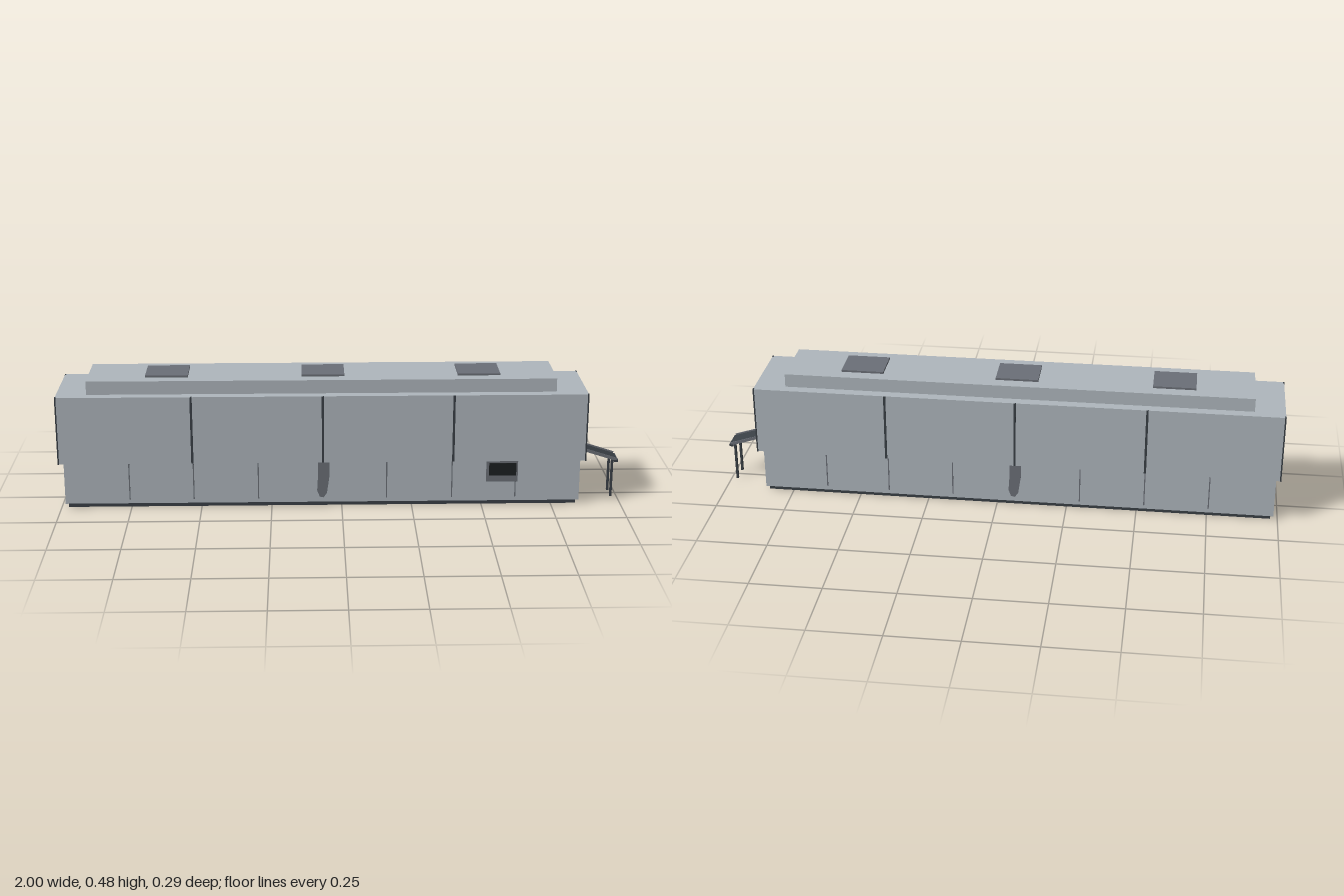
import * as THREE from 'three';

const mat = (name, color) => Object.assign(new THREE.MeshStandardMaterial({ color }), { name });

export function createModel() {
  const model = new THREE.Group();
  model.name = 'longContainerUnit';
  const shell = mat('pale grey shell', 0xb0b8be);
  const grey = mat('mid grey', 0x6c7078);
  const dark = mat('charcoal', 0x3a4046);
  const black = mat('near black', 0x1c2021);

  const add = (name, geometry, material, parent = model) => {
    const mesh = new THREE.Mesh(geometry, material);
    mesh.name = name;
    parent.add(mesh);
    return mesh;
  };
  // Box given by its limits on each axis
  const box = (name, material, [x0, x1], [y0, y1], [z0, z1], parent) => {
    const mesh = add(name, new THREE.BoxGeometry(x1 - x0, y1 - y0, z1 - z0), material, parent);
    mesh.position.set((x0 + x1) / 2, (y0 + y1) / 2, (z0 + z1) / 2);
    return mesh;
  };

  // Stacked main volumes
  box('basePlinth', dark, [-0.975, 0.84], [0, 0.016], [-0.1, 0.1]);
  box('lowerBody', shell, [-0.985, 0.85], [0.016, 0.177], [-0.11, 0.11]);
  box('upperBody', shell, [-0.999, 0.864], [0.177, 0.422], [-0.146, 0.146]);
  box('roofDeck', shell, [-0.893, 0.755], [0.422, 0.47], [-0.11, 0.11]);

  // Roof hatches
  for (const x of [-0.615, -0.065, 0.485])
    box('roofHatch', grey, [x - 0.075, x + 0.075], [0.47, 0.477], [-0.064, 0.064]);

  // Tapered crest plate
  const crest = new THREE.Shape([
    [-0.02, 0.177], [0.022, 0.177], [0.022, 0.12], [0.012, 0.05],
    [0, 0.033], [-0.014, 0.036], [-0.023, 0.06], [-0.02, 0.11],
  ].map(([x, y]) => new THREE.Vector2(x, y)));
  const crestGeometry = new THREE.ExtrudeGeometry(crest, { depth: 0.0015, bevelEnabled: false });

  for (const s of [1, -1]) {
    const band = (z0, z1) => (s > 0 ? [z0, z1] : [-z1, -z0]);
    // Corner posts and dark seams of the upper body
    for (const x of [-0.9975, 0.8625])
      box('cornerPost', dark, [x - 0.0025, x + 0.0025], [0.176, 0.4225], band(0.135, 0.147));
    for (const x of [-0.527, -0.067, 0.393])
      box('upperSeam', dark, [x - 0.004, x + 0.004], [0.177, 0.422], band(0.14, 0.1468));
    // Fine panel joints of the lower body
    for (const x of [-0.755, -0.527, -0.297, 0.16, 0.393, 0.62])
      box('panelJoint', grey, [x - 0.002, x + 0.002], [0.03, 0.168], band(0.105, 0.111));
    const plate = add('crestPlate', crestGeometry, grey);
    plate.position.set(-0.065, 0, s * 0.11);
    if (s < 0) plate.rotation.y = Math.PI;
  }

  // Service window on the front
  box('windowFrame', grey, [0.515, 0.628], [0.088, 0.177], [0.108, 0.113]);
  box('windowPane', black, [0.525, 0.622], [0.112, 0.158], [0.11, 0.1145]);

  // Round port on the far end
  const port = new THREE.Group();
  port.name = 'endPort';
  port.position.set(-0.986, 0.135, 0);
  port.rotation.z = Math.PI / 2;
  model.add(port);
  add('portRing', new THREE.CylinderGeometry(0.025, 0.025, 0.01, 20), dark, port);
  add('portCore', new THREE.CylinderGeometry(0.016, 0.016, 0.014, 20), black, port);

  // Sloping chute with side rails and two legs
  const chute = new THREE.Group();
  chute.name = 'chute';
  chute.position.set(0.926, 0.161, 0);
  chute.rotation.z = -Math.atan2(0.043, 0.134);
  model.add(chute);
  box('chuteFloor', dark, [-0.071, 0.071], [-0.003, 0.003], [-0.036, 0.036], chute);
  for (const s of [1, -1]) {
    const rail = box('chuteRail', grey, [-0.071, 0.071], [-0.003, 0.008], [-0.0015, 0.0015], chute);
    rail.position.z = s * 0.037;
    const leg = box('chuteLeg', dark, [0.975, 0.983], [0, 0.14], [-0.004, 0.004]);
    leg.position.z = s * 0.0325;
  }
  box('chuteLip', dark, [0.985, 1], [0.133, 0.14], [-0.039, 0.039]);

  return model;
}
